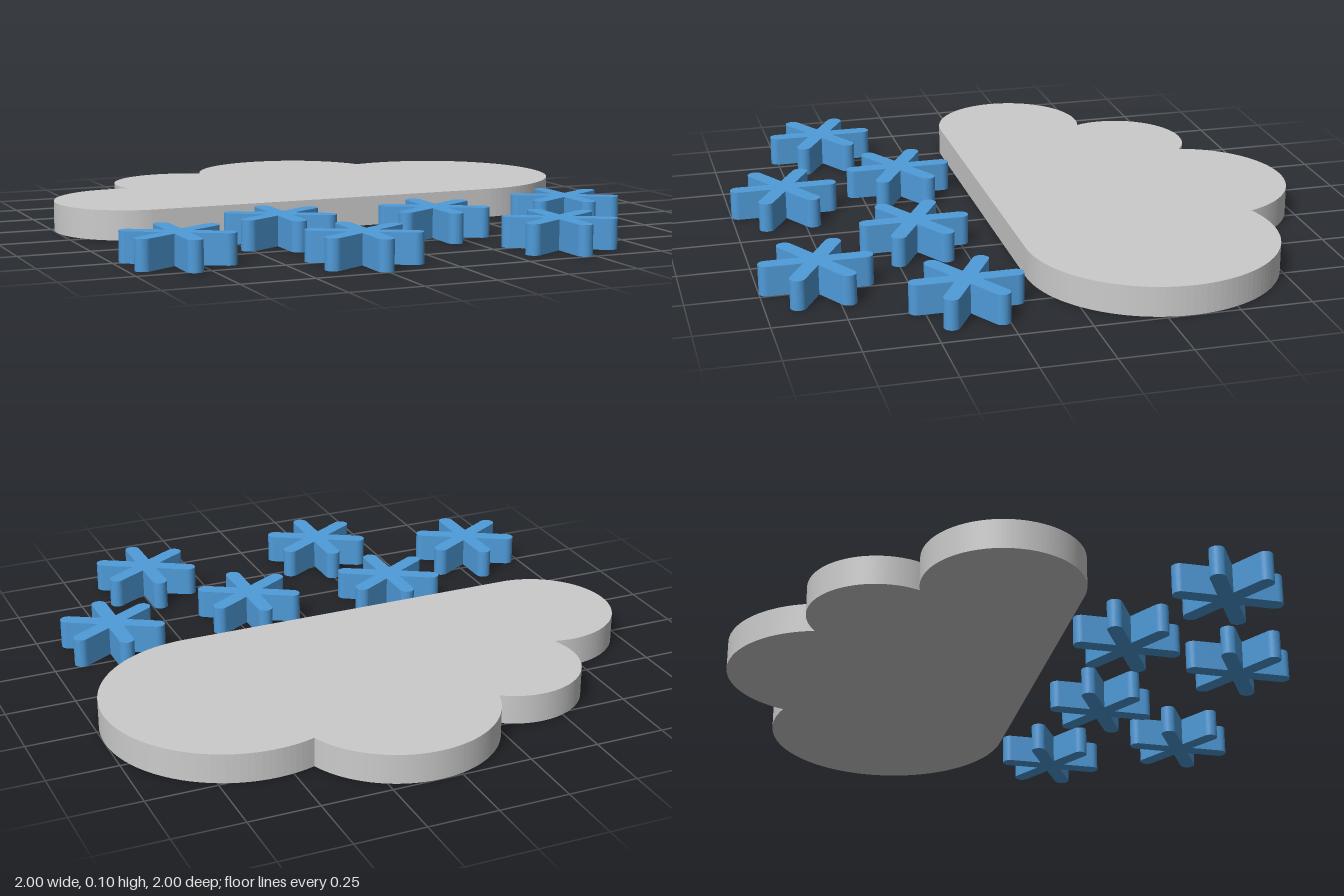
import * as THREE from 'three';

const HEIGHT = 0.105;

// Extrude a flat outline (x, -z) upwards from the ground
function slab(shape, curveSegments) {
  const geo = new THREE.ExtrudeGeometry(shape, { depth: HEIGHT, bevelEnabled: false, curveSegments });
  return geo.rotateX(-Math.PI / 2);
}

// Cloud outline: four overlapping puffs, right to left, on a straight base
function cloudShape() {
  const puffs = [
    { x: 0.557, y: 0.337, r: 0.443 },
    { x: 0.08, y: 0.639, r: 0.361 },
    { x: -0.417, y: 0.53, r: 0.25 },
    { x: -0.724, y: 0.169, r: 0.276 },
  ];
  const shape = new THREE.Shape();
  let start = -Math.PI / 2;
  puffs.forEach((p, i) => {
    const next = puffs[i + 1];
    let end = Math.PI * 1.5, nextStart = 0;
    if (next) {
      // Outer crossing point of this puff and the next
      const dx = next.x - p.x, dy = next.y - p.y, d = Math.hypot(dx, dy);
      const a = (d * d + p.r ** 2 - next.r ** 2) / (2 * d);
      end = Math.atan2(dy, dx) - Math.acos(a / p.r);
      const px = p.x + p.r * Math.cos(end), py = p.y + p.r * Math.sin(end);
      nextStart = Math.atan2(py - next.y, px - next.x);
    }
    shape.absarc(p.x, p.y, p.r, start, end, false);
    start = nextStart;
  });
  shape.closePath();
  return shape;
}

// Six round-ended arms meeting at sharp inner notches
function snowflakeShape(length = 0.194, r = 0.0275) {
  const shape = new THREE.Shape();
  for (let i = 0; i < 6; i++) {
    const a = Math.PI / 2 + (i * Math.PI) / 3;
    const tip = length - r, notch = a + Math.PI / 6;
    shape.absarc(tip * Math.cos(a), tip * Math.sin(a), r, a - Math.PI / 2, a + Math.PI / 2, false);
    shape.lineTo(2 * r * Math.cos(notch), 2 * r * Math.sin(notch));
  }
  return shape;
}

export function createModel() {
  const model = new THREE.Group();
  model.name = 'snowCloud';

  const cloud = new THREE.Mesh(slab(cloudShape(), 32), new THREE.MeshStandardMaterial({ color: 0xcccccc }));
  cloud.name = 'cloud';
  model.add(cloud);

  // Snowflakes scattered in front of the cloud's base
  const flakeGeo = slab(snowflakeShape(), 12);
  const blue = new THREE.MeshStandardMaterial({ color: 0x4f9bd9 });
  const spots = [
    [-0.805, 0.58], [-0.362, 0.357], [-0.25, 0.806],
    [0.193, 0.413], [0.47, 0.806], [0.748, 0.357],
  ];
  spots.forEach(([x, z], i) => {
    const flake = new THREE.Mesh(flakeGeo, blue);
    flake.name = `snowflake${i + 1}`;
    flake.position.set(x, 0, z);
    model.add(flake);
  });
  return model;
}
